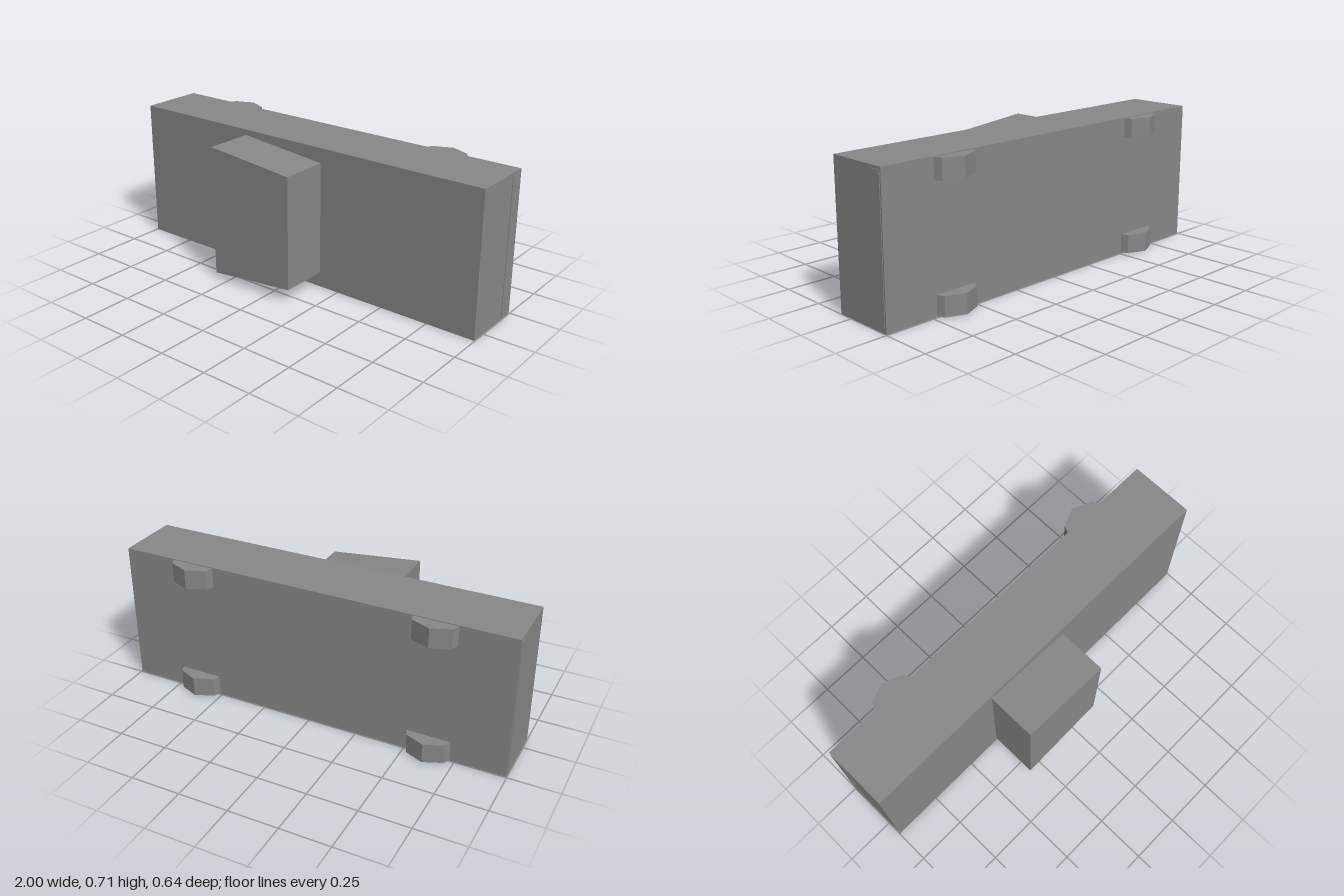
import * as THREE from 'three';

export function createModel() {
  const group = new THREE.Group();
  const material = new THREE.MeshStandardMaterial({ color: 0x878787, flatShading: true });

  const add = (name, geometry, x, y, z) => {
    const mesh = new THREE.Mesh(geometry, material);
    mesh.name = name;
    mesh.position.set(x, y, z);
    group.add(mesh);
  };

  // Main slab, with a strip through it that stands slightly proud at both ends
  add('body', new THREE.BoxGeometry(1.994, 0.712, 0.323), 0, 0.356, -0.0845);
  add('endStrip', new THREE.BoxGeometry(2, 0.684, 0.07), 0, 0.356, -0.204);

  // Tapered block on the front, narrower towards +x
  const taper = new THREE.Shape([
    new THREE.Vector2(-0.32, 0.029),
    new THREE.Vector2(0.143, 0.075),
    new THREE.Vector2(0.143, 0.638),
    new THREE.Vector2(-0.32, 0.684),
  ]);
  add('frontBlock', new THREE.ExtrudeGeometry(taper, { depth: 0.243, bevelEnabled: false }), 0, 0, 0.077);

  // Four eight-sided wheels, half sunk into the back
  const wheel = new THREE.CylinderGeometry(0.132, 0.132, 0.098, 8);
  for (const x of [-0.618, 0.618]) {
    for (const y of [0.054, 0.659]) add('wheel', wheel, x, y, -0.188);
  }

  return group;
}
